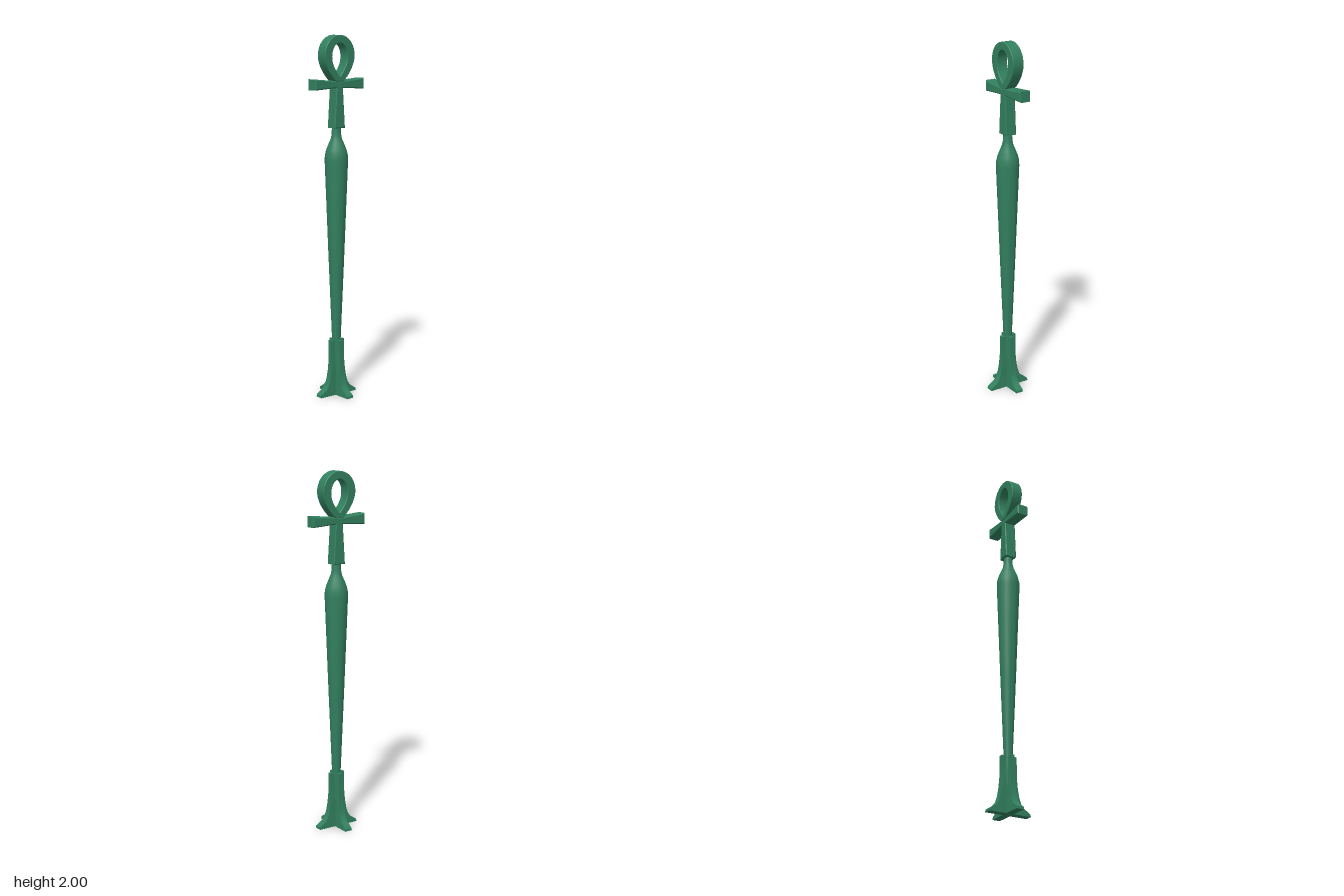
import * as THREE from 'three';
import { toCreasedNormals } from 'three/addons/utils/BufferGeometryUtils.js';

const material = new THREE.MeshStandardMaterial({ color: 0x32805f });
const CREASE = 0.6;

function part(name, geometry) {
  const mesh = new THREE.Mesh(geometry, material);
  mesh.name = name;
  return mesh;
}

// Extrudes a shape to the given total depth, centred on z, with a small chamfer
function slab(shape, depth, bevel) {
  const geometry = new THREE.ExtrudeGeometry(shape, {
    depth: depth - 2 * bevel, curveSegments: 10, bevelEnabled: bevel > 0, bevelSegments: 1,
    bevelSize: bevel, bevelThickness: bevel, bevelOffset: -bevel,
  });
  geometry.translate(0, 0, -(depth - 2 * bevel) / 2);
  return toCreasedNormals(geometry, CREASE);
}

// Teardrop outline: pointed or blunt at the bottom, round at the top
function teardrop(path, halfBase, yBase, halfWidth, yWide, yTop) {
  const k = 0.56;
  path.moveTo(halfBase, yBase);
  path.bezierCurveTo(halfBase + (halfWidth - halfBase) * 0.55, yBase + 0.035,
    halfWidth, yWide - 0.045, halfWidth, yWide);
  path.bezierCurveTo(halfWidth, yWide + (yTop - yWide) * k, halfWidth * k, yTop, 0, yTop);
  path.bezierCurveTo(-halfWidth * k, yTop, -halfWidth, yWide + (yTop - yWide) * k, -halfWidth, yWide);
  path.bezierCurveTo(-halfWidth, yWide - 0.045,
    -halfBase - (halfWidth - halfBase) * 0.55, yBase + 0.035, -halfBase, yBase);
  return path;
}

// Looped cross on top: loop, flared crossbar and flared stem
function createHead() {
  const head = new THREE.Group();
  head.name = 'loopedCross';
  const depth = 0.066;

  const loop = teardrop(new THREE.Shape(), 0.022, 1.75, 0.103, 1.89, 2.0);
  loop.closePath();
  loop.holes.push(teardrop(new THREE.Path(), 0.002, 1.78, 0.052, 1.885, 1.957));
  head.add(part('loop', slab(loop, depth, 0.003)));

  const bar = new THREE.Shape([
    [-0.167, 1.708], [0, 1.718], [0.167, 1.708],
    [0.167, 1.767], [0, 1.753], [-0.167, 1.767],
  ].map(([x, y]) => new THREE.Vector2(x, y)));
  head.add(part('crossbar', slab(bar, depth, 0.006)));

  const stem = new THREE.Shape([
    [-0.037, 1.5], [0.037, 1.5], [0.021, 1.745], [-0.021, 1.745],
  ].map(([x, y]) => new THREE.Vector2(x, y)));
  head.add(part('stem', slab(stem, depth, 0.005)));
  return head;
}

// Tapered round shaft with a shoulder and a narrow neck
function createShaft() {
  const profile = [
    [0, 0.05], [0.02, 0.05], [0.024, 0.31], [0.044, 0.8], [0.064, 1.32], [0.063, 1.35],
    [0.056, 1.38], [0.042, 1.415], [0.031, 1.44], [0.026, 1.465], [0.024, 1.51], [0, 1.51],
  ].map(([r, y]) => new THREE.Vector2(r, y));
  const geometry = new THREE.LatheGeometry(profile, 14);
  return part('shaft', toCreasedNormals(geometry, CREASE));
}

// One flared fin, thicker near the floor than at its top
function finGeometry() {
  const profile = [
    [0, 0], [0.124, 0], [0.122, 0.014], [0.108, 0.023], [0.085, 0.038], [0.068, 0.06],
    [0.057, 0.095], [0.05, 0.14], [0.046, 0.2], [0.045, 0.315], [0, 0.315],
    [0, 0.2], [0, 0.095], [0, 0.04],
  ].map(([x, y]) => new THREE.Vector2(x, y));
  const geometry = new THREE.ExtrudeGeometry(new THREE.Shape(profile), { depth: 1, bevelEnabled: false });
  geometry.translate(0, 0, -0.5);
  const p = geometry.attributes.position;
  for (let i = 0; i < p.count; i++) {
    const t = Math.min(p.getY(i) / 0.2, 1);
    p.setZ(i, p.getZ(i) * THREE.MathUtils.lerp(0.044, 0.024, t));
  }
  return toCreasedNormals(geometry, CREASE);
}

export function createModel() {
  const model = new THREE.Group();
  model.name = 'staff';
  model.add(createHead(), createShaft());

  // Four fins form the cross-shaped foot
  const foot = new THREE.Group();
  foot.name = 'foot';
  const fin = finGeometry();
  for (let i = 0; i < 4; i++) {
    const mesh = part('footFin', fin);
    mesh.rotation.y = i * Math.PI / 2;
    foot.add(mesh);
  }
  model.add(foot);
  return model;
}
